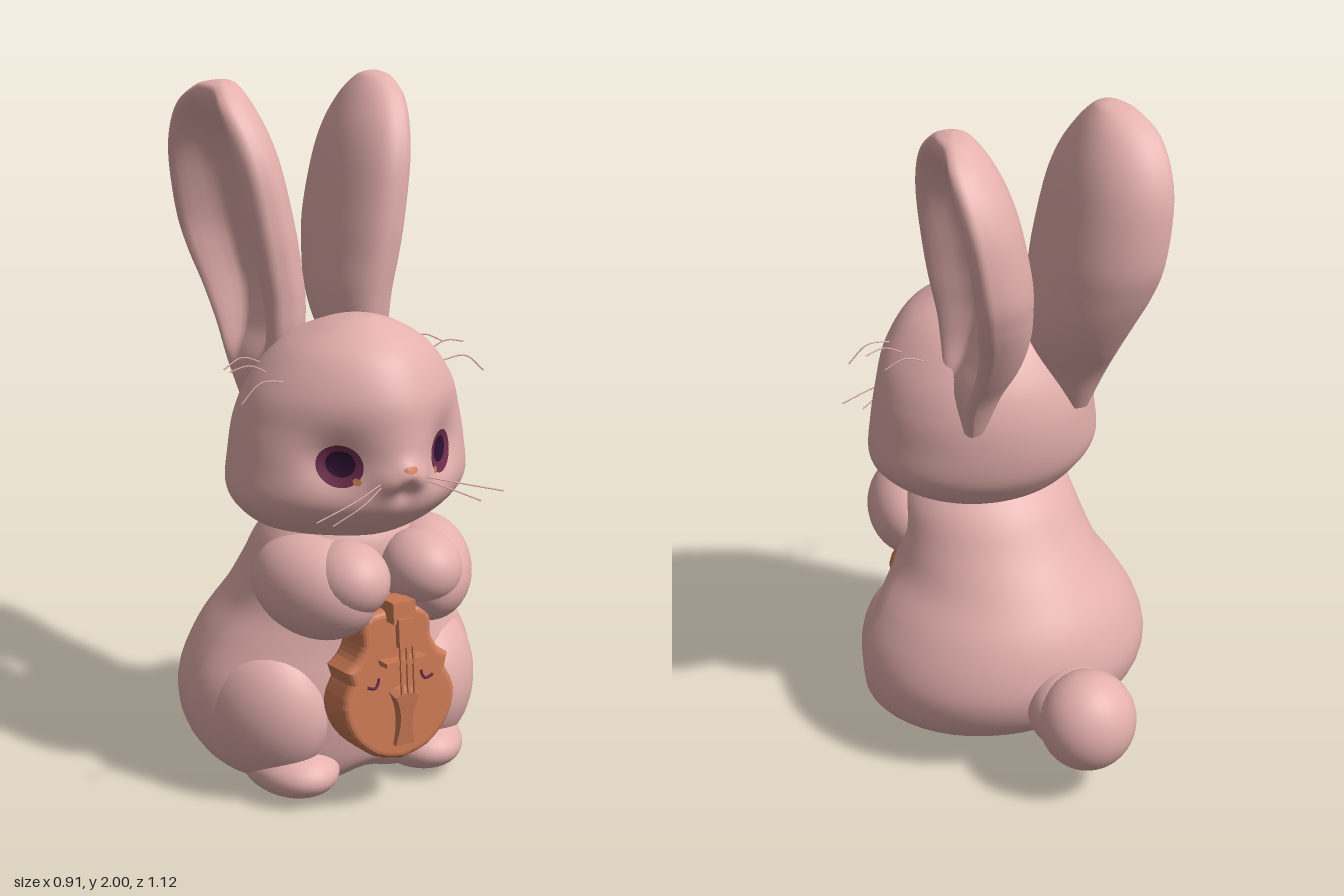
import * as THREE from 'three';

const mat = (name, color, side = THREE.FrontSide) => {
  const m = new THREE.MeshStandardMaterial({ color, side });
  m.name = name;
  return m;
};
const { smoothstep } = THREE.MathUtils;

// Smooth closed surface through cross-sections; ring(section, angle) gives a point
function loft(sections, ring, rows = 60, cols = 48) {
  const width = sections[0].length;
  const curve = new THREE.CubicInterpolant(
    Float32Array.from(sections, (_, i) => i), Float32Array.from(sections.flat()), width);
  const pos = [], idx = [];
  for (let i = 0; i <= rows; i++) {
    const s = Array.from(curve.evaluate((i / rows) * (sections.length - 1)));
    for (let j = 0; j < cols; j++) pos.push(...ring(s, (j / cols) * Math.PI * 2));
  }
  for (let i = 0; i < rows; i++) for (let j = 0; j < cols; j++) {
    const a = i * cols + j, c = i * cols + (j + 1) % cols;
    idx.push(a, a + cols, c, a + cols, c + cols, c);
  }
  const g = new THREE.BufferGeometry();
  g.setAttribute('position', new THREE.Float32BufferAttribute(pos, 3));
  g.setIndex(idx);
  g.computeVertexNormals();
  return g;
}

// Section: [y, half width, middle z, front z, back z]; taper narrows the front
const roundRing = ([y, rx, zm, zf, zb], t, taper) => {
  const s = Math.sin(t), front = Math.max(0, s);
  return [rx * Math.cos(t) * (1 - taper * front * front), y, zm + s * (s > 0 ? zf - zm : zm - zb)];
};

// Torso ring with a shallow groove under the belly, between the feet
const bodyRing = (section, t) => {
  const [x, y, z] = roundRing(section, t, 0.08);
  const groove = Math.exp(-((x / 0.09) ** 2)) * smoothstep(z, 0, 0.25) * (1 - smoothstep(y, 0.02, 0.12));
  return [x, y + 0.035 * groove, z];
};

// Face relief: [x, y, size, height] for eye sockets, nose, muzzle and the dip under the mouth
const relief = [[0.165, 1.03, 0.075, -0.045], [0, 1.005, 0.035, 0.026],
  [0.045, 0.98, 0.035, 0.018], [0, 0.945, 0.03, -0.012]];
const faceRing = (section, t) => {
  const [x, y, z] = roundRing(section, t, 0.34 - 0.24 * smoothstep(section[0], 1.08, 1.36));
  const push = relief.reduce((sum, [cx, cy, size, h]) =>
    sum + h * Math.exp(-((Math.abs(x) - cx) ** 2 + (y - cy) ** 2) / size ** 2), 0);
  return [x, y, z + push * smoothstep(z, 0.25, 0.4)];
};

// Section: [y, front z, back z, inner x, outer x, hollow]; the outer side is scooped
const earRing = ([y, zf, zb, xi, xo, hollow], t) => {
  const c = Math.cos(t), s = Math.sin(t);
  const depth = xo - xi, bulge = depth * 0.35, mid = xo - bulge;
  const dip = smoothstep(0.82 - Math.abs(s), 0, 0.42) * hollow * depth;
  const x = c > 0 ? mid + bulge * Math.sqrt(c) - dip : mid + c * (mid - xi);
  const turn = 0.065 * (zf - zb) * (c > 0 ? 1 : 1 + c);
  return [x - turn * s, y, (zf + zb) / 2 + s * (zf - zb) / 2];
};

function ellipsoid(x, y, z, rx, ry, rz, tiltX = 0, tiltY = 0) {
  const g = new THREE.SphereGeometry(1, 36, 24);
  g.scale(rx, ry, rz).rotateX(tiltX).rotateY(tiltY).translate(x, y, z);
  return g;
}

const tube = (points, r) => new THREE.TubeGeometry(
  new THREE.CatmullRomCurve3(points.map(p => new THREE.Vector3(...p))), 12, r, 5);

function mirrored(geometry) {
  const g = geometry.clone().scale(-1, 1, 1);
  const a = g.index.array;
  for (let i = 0; i < a.length; i += 3) [a[i], a[i + 1]] = [a[i + 1], a[i]];
  return g;
}

export function createModel() {
  const model = new THREE.Group();
  const fur = mat('pink fur', 0xe4b0ad);
  const wood = mat('orange wood', 0xcc7a56);
  const iris = mat('plum iris', 0x6e2c4c, THREE.DoubleSide);
  const pupil = mat('dark pupil', 0x2b1030, THREE.DoubleSide);

  const add = (name, geometry, material, parent = model) => {
    const mesh = new THREE.Mesh(geometry, material);
    mesh.name = name;
    parent.add(mesh);
    return mesh;
  };
  const pair = (name, geometry, material) => {
    add('right' + name, mirrored(geometry), material);
    return add('left' + name, geometry, material);
  };

  // Torso, widest at the hips and leaning back into the tail
  add('body', loft([
    [0.012, 0.001, 0.2, 0.201, 0.199], [0.017, 0.23, 0.18, 0.3, 0.08], [0.05, 0.33, 0.16, 0.335, -0.07],
    [0.1, 0.4, 0.13, 0.355, -0.22], [0.17, 0.442, 0.1, 0.37, -0.29], [0.26, 0.455, 0.09, 0.38, -0.325],
    [0.35, 0.437, 0.1, 0.378, -0.32], [0.45, 0.385, 0.11, 0.365, -0.285], [0.55, 0.32, 0.13, 0.36, -0.215],
    [0.65, 0.285, 0.15, 0.37, -0.135], [0.75, 0.255, 0.18, 0.37, -0.065], [0.83, 0.2, 0.2, 0.33, 0.02],
  ], bodyRing), fur);

  // Head with full cheeks, eye sockets and a small muzzle
  const head = add('head', loft([
    [0.768, 0.001, 0.2, 0.201, 0.199], [0.772, 0.14, 0.2, 0.32, 0.06], [0.8, 0.255, 0.2, 0.4, -0.03],
    [0.85, 0.325, 0.2, 0.465, -0.075], [0.91, 0.356, 0.2, 0.508, -0.105], [1.0, 0.345, 0.2, 0.525, -0.12],
    [1.1, 0.325, 0.2, 0.522, -0.115], [1.2, 0.285, 0.22, 0.508, -0.08], [1.3, 0.205, 0.24, 0.45, 0],
    [1.36, 0.11, 0.26, 0.365, 0.13], [1.383, 0.04, 0.27, 0.31, 0.22], [1.386, 0.001, 0.27, 0.271, 0.269],
  ], faceRing, 120, 140), fur);

  // Tall ears, scooped on the outside
  const ear = pair('Ear', loft([
    [1.08, 0, -0.09, 0.13, 0.195, 0], [1.2, 0.07, -0.145, 0.08, 0.22, 0.12], [1.3, 0.11, -0.21, 0.04, 0.225, 0.36],
    [1.4, 0.12, -0.268, 0.03, 0.24, 0.5], [1.5, 0.125, -0.315, 0.04, 0.265, 0.55], [1.6, 0.125, -0.342, 0.055, 0.285, 0.55],
    [1.75, 0.11, -0.338, 0.088, 0.307, 0.52], [1.85, 0.075, -0.305, 0.118, 0.317, 0.42], [1.93, 0.02, -0.245, 0.155, 0.316, 0.2],
    [1.98, -0.035, -0.175, 0.19, 0.29, 0], [1.995, -0.07, -0.13, 0.212, 0.264, 0], [2.0, -0.099, -0.101, 0.237, 0.239, 0],
  ], earRing, 90, 72), fur);

  // Limbs
  pair('Arm', ellipsoid(0.18, 0.648, 0.33, 0.13, 0.142, 0.2, 0.1, -0.4), fur);
  pair('Paw', ellipsoid(0.115, 0.685, 0.412, 0.112, 0.106, 0.128), fur);
  pair('Thigh', ellipsoid(0.265, 0.25, 0.185, 0.15, 0.215, 0.21, 0, -0.5), fur);
  pair('Foot', ellipsoid(0.208, 0.08, 0.235, 0.13, 0.08, 0.178, 0, -0.05), fur);

  // Round tail with a short root
  add('tail', ellipsoid(0, 0.25, -0.425, 0.145, 0.15, 0.138, 0.2), fur);
  add('tailRoot', ellipsoid(0, 0.247, -0.35, 0.14, 0.125, 0.13), fur);

  // Patch laid over the curve of the face
  const ray = new THREE.Raycaster();
  const onFace = (x, y, rx, ry, lift) => {
    const g = new THREE.RingGeometry(0.001, 1, 32, 6).scale(rx, ry, 1).translate(x, y, 0);
    const p = g.attributes.position;
    for (let i = 0; i < p.count; i++) {
      ray.set(new THREE.Vector3(p.getX(i), p.getY(i), 3), new THREE.Vector3(0, 0, -1));
      p.setZ(i, ray.intersectObject(head)[0].point.z + lift);
    }
    g.computeVertexNormals();
    return g;
  };
  pair('Iris', onFace(0.157, 1.022, 0.052, 0.058, 0.004), iris);
  pair('Pupil', onFace(0.154, 1.028, 0.032, 0.036, 0.008), pupil);
  pair('EyeCorner', onFace(0.122, 0.982, 0.009, 0.01, 0.007), wood);
  add('nose', onFace(0, 1.02, 0.021, 0.009, 0.004), wood);

  // Small mark inside the left ear
  ray.set(new THREE.Vector3(3, 1.51, -0.16), new THREE.Vector3(-1, 0, 0));
  add('earMark', new THREE.BoxGeometry(0.008, 0.026, 0.024)
    .translate(...ray.intersectObject(ear)[0].point.toArray()), wood);

  // Whiskers beside the mouth and above the brow
  [
    [[0.07, 0.98, 0.51], [0.17, 0.955, 0.545], [0.29, 0.92, 0.555]],
    [[0.07, 0.97, 0.51], [0.14, 0.94, 0.54], [0.23, 0.895, 0.535]],
    [[0.22, 1.24, 0.11], [0.29, 1.265, 0.115], [0.35, 1.24, 0.125]],
    [[0.24, 1.23, 0.2], [0.31, 1.265, 0.205], [0.37, 1.255, 0.205]],
    [[0.23, 1.23, 0.29], [0.32, 1.24, 0.295], [0.38, 1.19, 0.3]],
  ].forEach((points, i) => pair('Whisker' + (i + 1), tube(points, 0.0022), fur));

  // Violin held against the belly, leaning back slightly
  const violin = new THREE.Group();
  violin.name = 'violin';
  violin.position.set(0, 0.38, 0.4);
  violin.rotation.x = -0.1;
  model.add(violin);

  const runs = [
    [[0, -0.215], [0.08, -0.193], [0.145, -0.13], [0.168, -0.05], [0.14, 0.015]],
    [[0.14, 0.015], [0.15, 0.05]],
    [[0.15, 0.05], [0.12, 0.075], [0.1, 0.115], [0.1, 0.16], [0.08, 0.195], [0, 0.205]],
  ];
  const half = runs.flatMap(run =>
    new THREE.SplineCurve(run.map(p => new THREE.Vector2(...p))).getPoints(12).slice(0, -1));
  const outline = [...half, new THREE.Vector2(0, 0.205),
    ...half.slice(1).reverse().map(p => new THREE.Vector2(-p.x, p.y))];
  add('violinBody', new THREE.ExtrudeGeometry(new THREE.Shape(outline),
    { depth: 0.09, bevelSize: 0.02, bevelOffset: -0.009, bevelThickness: 0.024, bevelSegments: 4 })
    .translate(0, 0, -0.01), wood, violin);

  const box = (name, w, h, d, x, y, z) =>
    add(name, new THREE.BoxGeometry(w, h, d).translate(x, y, z), wood, violin);
  box('violinNeck', 0.07, 0.06, 0.09, 0, 0.212, 0.1);
  box('fingerboard', 0.05, 0.08, 0.02, 0, 0.155, 0.145);
  box('bridge', 0.13, 0.014, 0.05, 0, 0.07, 0.125);
  for (let i = -1; i <= 1; i++) box('string', 0.007, 0.21, 0.008, i * 0.02, 0.085, 0.15);

  // Flared tailpiece, sinking toward the lower end
  const tailShape = new THREE.Shape();
  tailShape.moveTo(-0.03, -0.17);
  tailShape.lineTo(0.03, -0.17);
  tailShape.quadraticCurveTo(0.005, -0.08, 0.038, -0.02);
  tailShape.quadraticCurveTo(0, 0.005, -0.038, -0.02);
  tailShape.quadraticCurveTo(-0.005, -0.08, -0.03, -0.17);
  add('tailpiece', new THREE.ExtrudeGeometry(tailShape, { depth: 0.05, bevelEnabled: false })
    .rotateX(0.2).translate(0, 0, 0.103), wood, violin);

  // Curved sound holes
  for (const s of [-1, 1]) {
    add('soundHole', tube([[s * 0.105, 0.005, 0.104], [s * 0.08, -0.002, 0.104],
      [s * 0.07, 0.012, 0.104], [s * 0.067, 0.025, 0.104]], 0.0045), iris, violin);
  }
  return model;
}
